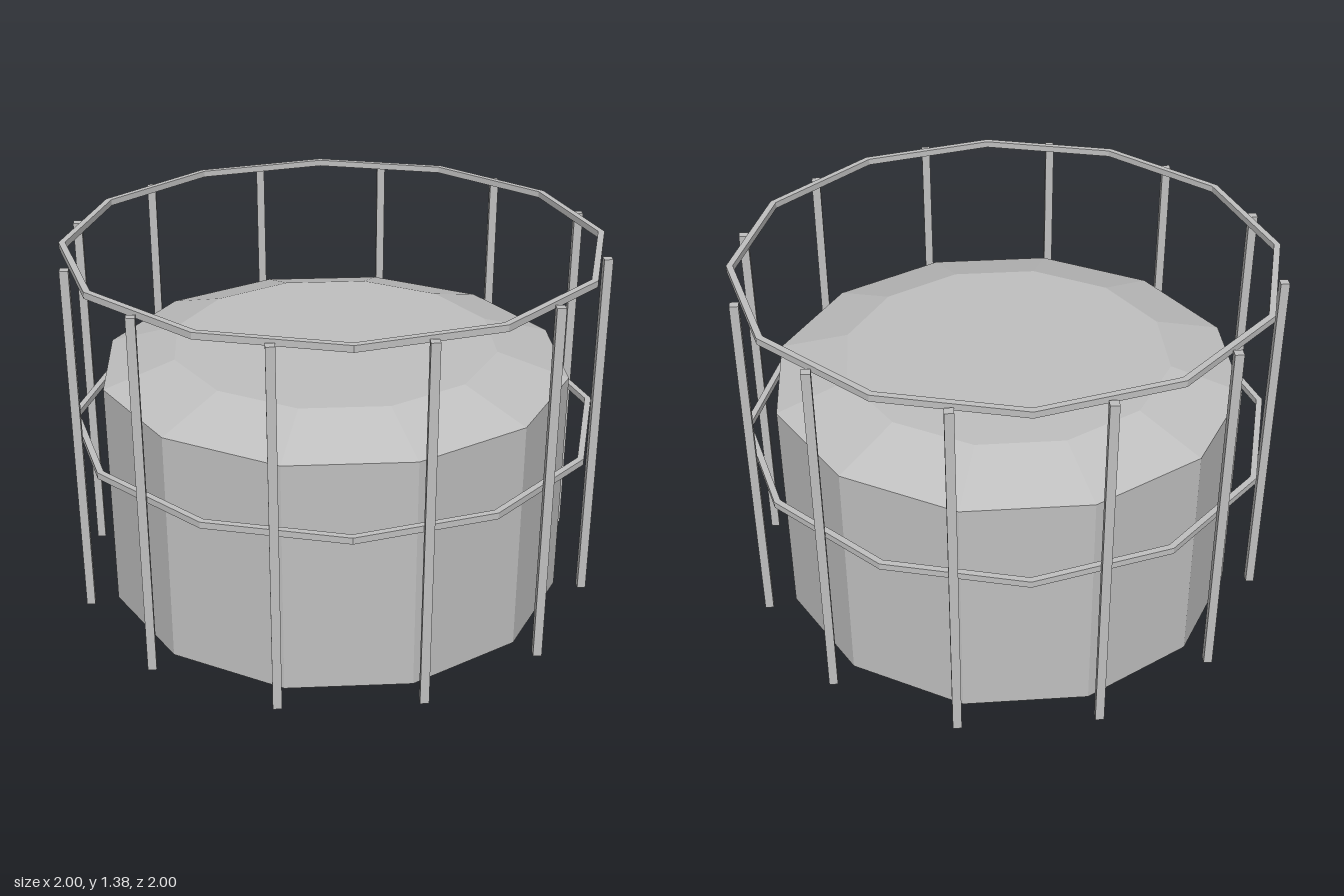
import * as THREE from 'three';

const SIDES = 12;

export function createModel() {
  const model = new THREE.Group();
  model.name = 'railedDrum';

  const grey = new THREE.MeshStandardMaterial({ color: 0xc0c0c0, flatShading: true, side: THREE.DoubleSide });
  grey.name = 'plain grey';

  // Revolve a profile of [radius, height] pairs into a twelve-sided form
  const revolve = (name, profile, turn) => {
    const points = profile.map(([r, y]) => new THREE.Vector2(r, y));
    const mesh = new THREE.Mesh(new THREE.LatheGeometry(points, SIDES, turn), grey);
    mesh.name = name;
    model.add(mesh);
  };

  // Hollow drum, open underneath, with a bevelled lid
  const halfStep = Math.PI / SIDES;
  revolve('drum', [[0.884, 0], [0.884, 0.89]], halfStep);
  revolve('drumLid', [[0.884, 0.89], [0.616, 0.972], [0, 0.972]], halfStep);

  // Two square-section rails, with corners midway between the posts
  const rail = (name, y) => {
    const outer = 1, inner = 0.976, h = 0.012;
    revolve(name, [[outer, y - h], [outer, y + h], [inner, y + h], [inner, y - h], [outer, y - h]], 0);
  };
  rail('lowerRail', 0.683);
  rail('upperRail', 1.365);

  // Upright posts, all square to the axes
  const posts = new THREE.Group();
  posts.name = 'posts';
  const postHeight = 1.366;
  const postGeometry = new THREE.BoxGeometry(0.032, postHeight, 0.032);
  for (let i = 0; i < SIDES; i++) {
    const angle = (2 * i + 1) * halfStep;
    const post = new THREE.Mesh(postGeometry, grey);
    post.name = 'post';
    post.position.set(0.989 * Math.sin(angle), postHeight / 2, 0.989 * Math.cos(angle));
    posts.add(post);
  }
  model.add(posts);

  return model;
}
